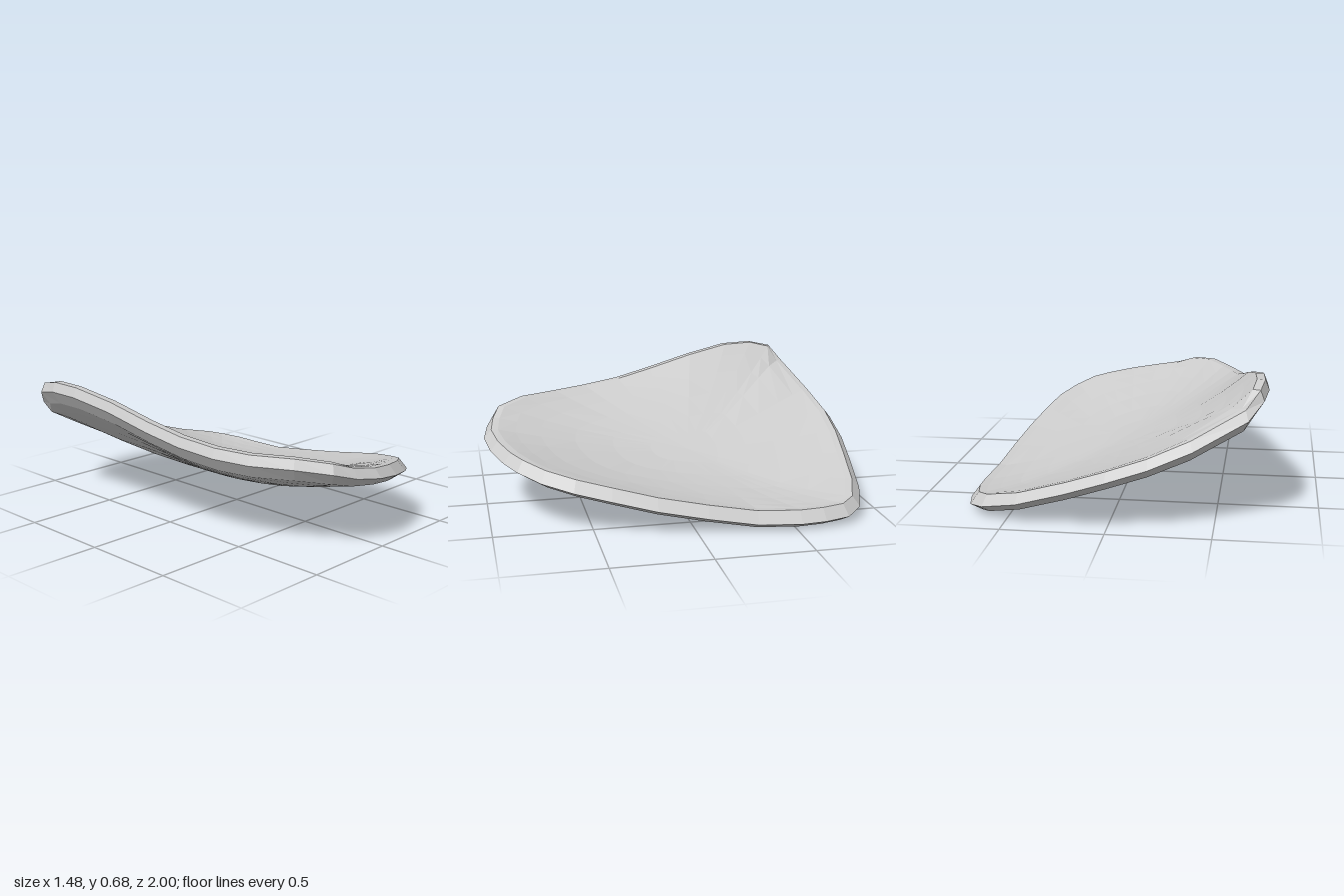
import * as THREE from 'three';
import { mergeVertices } from 'three/addons/utils/BufferGeometryUtils.js';

// Outer edge of the shell as [x, y, z], starting at the back and passing the left side first
const EDGE = [
  [0, .25, -1], [.2, .18, -.975], [.44, .105, -.935], [.62, .065, -.87], [.7, .045, -.78],
  [.73, .04, -.65], [.735, .037, -.52], [.72, .045, -.3], [.695, .085, -.05], [.66, .13, .2],
  [.61, .18, .42], [.56, .22, .6], [.48, .255, .75], [.38, .29, .86], [.28, .31, .92],
  [.13, .335, .975], [-.03, .36, 1], [-.18, .385, .975], [-.3, .42, .925], [-.42, .44, .78],
  [-.52, .44, .58], [-.58, .45, .4], [-.62, .475, .2], [-.655, .52, 0], [-.69, .585, -.25],
  [-.73, .63, -.48], [-.74, .635, -.65], [-.72, .61, -.78], [-.65, .53, -.86],
  [-.4, .4, -.955], [-.2, .32, -1],
];
const N = EDGE.length;
const CENTRE_Z = -.1;

// Edge moved inwards along its own normal and up or down;
// both amounts are [front and back, extra on the left, extra on the right]
function insetEdge(inset, lift) {
  return EDGE.map(([x, y, z], i) => {
    const p = EDGE[(i + N - 1) % N], n = EDGE[(i + 1) % N];
    const length = Math.hypot(n[0] - p[0], n[2] - p[2]);
    const nx = (n[2] - p[2]) / length, nz = (p[0] - n[0]) / length;
    const blend = ([base, left, right]) => base + left * Math.max(0, nx) + right * Math.max(0, -nx);
    const d = blend(inset);
    return [x - nx * d, Math.max(0, y + blend(lift)), z - nz * d];
  });
}

// Height of a smooth skin stretched over a rim (mean value interpolation)
function skinHeight(rim, x, z) {
  const arms = rim.map(([rx, , rz]) => [rx - x, rz - z, Math.hypot(rx - x, rz - z)]);
  const halfTan = arms.map(([ax, az, al], i) => {
    const [bx, bz, bl] = arms[(i + 1) % N];
    return (ax * bz - az * bx) / (al * bl + ax * bx + az * bz);
  });
  let sum = 0, total = 0;
  rim.forEach(([, y], i) => {
    const weight = (halfTan[i] + halfTan[(i + N - 1) % N]) / arms[i][2];
    sum += weight * y;
    total += weight;
  });
  return sum / total;
}

// Ring shrunk to the middle, on a skin that sags like a shallow bowl
function innerRing(rim, s, sag) {
  return rim.map(([rx, , rz]) => {
    const x = rx * s, z = CENTRE_Z + (rz - CENTRE_Z) * s;
    return [x, Math.max(0, skinHeight(rim, x, z) - sag * (1 - s * s)), z];
  });
}

function shellGeometry() {
  const lower = insetEdge([.045, .015, 0], [-.04, .007, -.03]);
  const upper = insetEdge([.04, .005, -.02], [.045, .015, .005]);
  const lip = insetEdge([.075, .01, -.015], [.045, .012, .005]);
  const steps = [0, .2, .4, .6, .78, .91];
  const rings = [
    ...steps.map(s => innerRing(lower, s, .13)),
    lower, EDGE, upper, lip,
    ...[...steps].reverse().map(s => innerRing(lip, s, .12)),
  ];

  const index = [];
  for (let r = 0; r < rings.length - 1; r++) {
    for (let i = 0; i < N; i++) {
      const j = (i + 1) % N;
      const a = r * N + i, b = r * N + j, c = a + N, d = b + N;
      // the first and last rings are single points, so they take one triangle each
      if (r < rings.length - 2) index.push(a, c, d);
      else index.push(a, c, b);
      if (r > 0 && r < rings.length - 2) index.push(a, d, b);
    }
  }
  let geometry = new THREE.BufferGeometry();
  geometry.setAttribute('position', new THREE.Float32BufferAttribute(rings.flat(2), 3));
  geometry.setIndex(index);
  geometry = mergeVertices(geometry, 1e-5);
  geometry.computeVertexNormals();
  return geometry;
}

export function createModel() {
  const grey = new THREE.MeshStandardMaterial({ color: 0xcccccc, flatShading: true });
  grey.name = 'light grey';

  const shell = new THREE.Mesh(shellGeometry(), grey);
  shell.name = 'curvedShell';

  const model = new THREE.Group();
  model.name = 'curvedPlate';
  model.add(shell);
  return model;
}
